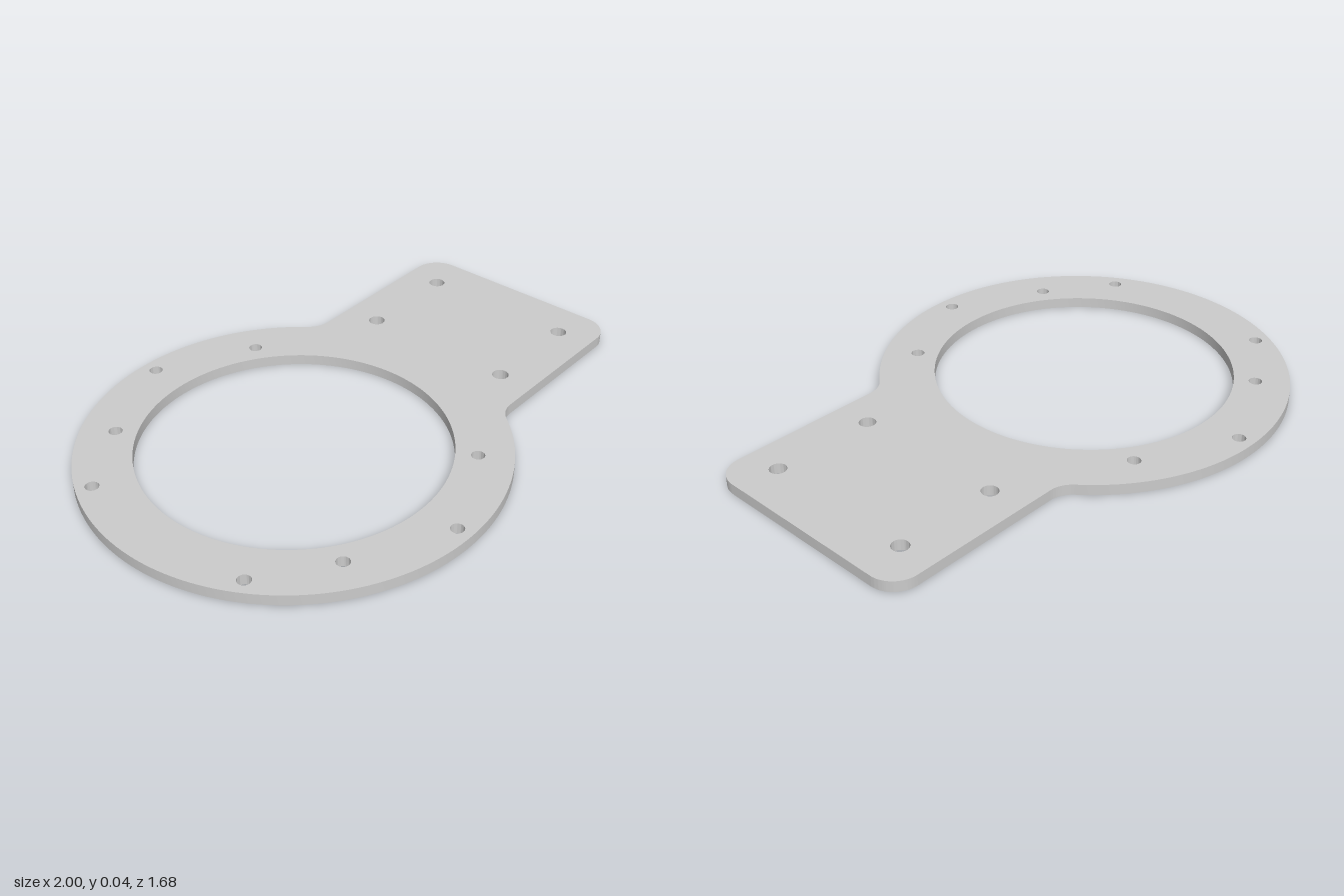
import * as THREE from 'three';
import { toCreasedNormals } from 'three/addons/utils/BufferGeometryUtils.js';

const THICKNESS = 0.038;
const RING = { outer: 0.718, inner: 0.525 };
const TAB = { end: 1.28, half: 0.414, corner: 0.095, fillet: 0.095 };

// Ring and tab in one outline, with the tab pointing along +x
function plateOutline() {
  const { end, half, corner, fillet } = TAB;
  const fy = half + fillet;
  const fx = Math.sqrt((RING.outer + fillet) ** 2 - fy ** 2);
  const a = Math.atan2(fy, fx);
  const q = Math.PI / 2;
  const shape = new THREE.Shape();
  shape.absarc(0, 0, RING.outer, a, 2 * Math.PI - a, false);
  shape.absarc(fx, -fy, fillet, Math.PI - a, q, true);
  shape.absarc(end - corner, corner - half, corner, -q, 0, false);
  shape.absarc(end - corner, half - corner, corner, 0, q, false);
  shape.absarc(fx, fy, fillet, -q, a - Math.PI, true);
  shape.closePath();
  return shape;
}

function addHole(shape, x, y, radius) {
  const hole = new THREE.Path();
  hole.absarc(x, y, radius, 0, Math.PI * 2, true);
  shape.holes.push(hole);
}

export function createModel() {
  const shape = plateOutline();
  addHole(shape, 0, 0, RING.inner);

  // Two sets of screw holes around the ring, mirrored about the tab axis
  for (const [radius, degrees] of [[0.664, 90], [0.664, 150], [0.599, 56.2], [0.599, 123.8]]) {
    const t = THREE.MathUtils.degToRad(degrees);
    for (const side of [-1, 1]) {
      addHole(shape, radius * Math.cos(t), side * radius * Math.sin(t), 0.023);
    }
  }

  // Four larger holes in the tab
  for (const x of [0.762, 1.131]) {
    for (const y of [-0.282, 0.282]) addHole(shape, x, y, 0.029);
  }

  // Turn the tab 30 degrees towards the back and lay the plate flat
  let geometry = new THREE.ExtrudeGeometry(shape, { depth: THICKNESS, bevelEnabled: false, curveSegments: 64 });
  geometry.rotateZ(Math.PI / 6);
  geometry.rotateX(-Math.PI / 2);
  geometry.translate(-0.281, 0, 0.12);
  geometry = toCreasedNormals(geometry, Math.PI / 6);

  const plate = new THREE.Mesh(geometry, new THREE.MeshStandardMaterial({ color: 0xcccccc }));
  plate.name = 'ringMountingPlate';
  const group = new THREE.Group();
  group.name = 'ringBracket';
  group.add(plate);
  return group;
}
